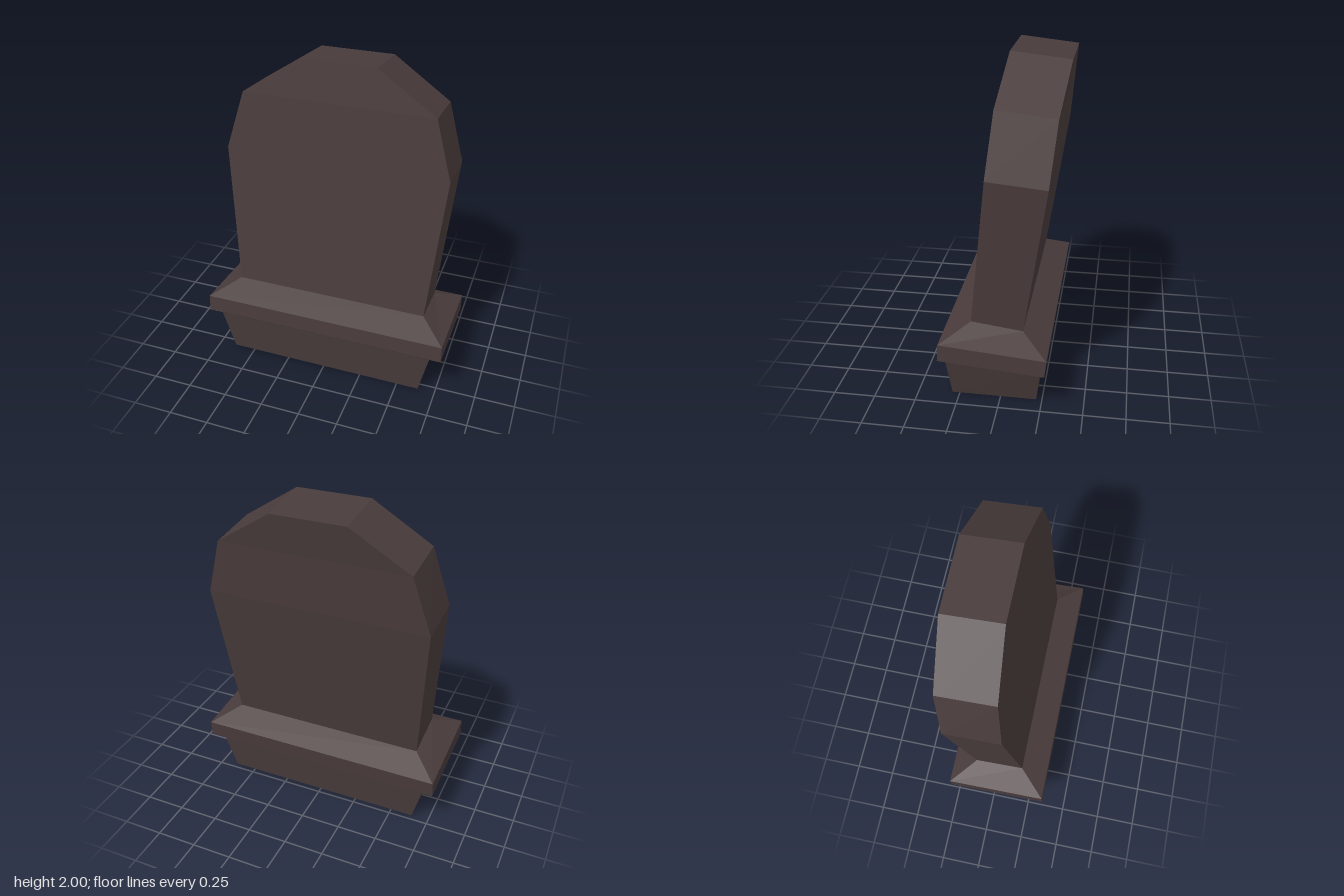
import * as THREE from 'three';

// The foot is open underneath, so the hollow inside shows
const stone = new THREE.MeshStandardMaterial({ color: 0x493b3b, flatShading: true, side: THREE.DoubleSide });
stone.name = 'dark stone';

// Each section: half width, front y and z, back y and z
const FOOT = [
  [0.64, 0, 0.295, 0, -0.215],
  [0.705, 0.288, 0.322, 0.243, -0.243],
];
const COLLAR = [
  FOOT[1],
  [0.78, 0.312, 0.347, 0.26, -0.275],
  [0.78, 0.418, 0.34, 0.365, -0.286],
  [0.62, 0.495, 0.175, 0.455, -0.132],
];
const SLAB = [
  COLLAR[3],
  [0.697, 1.402, 0.07, 1.37, -0.275],
  [0.59, 1.765, 0.032, 1.728, -0.312],
  [0.23, 2.0, 0, 1.962, -0.35],
];

// Joins four-cornered sections into a faceted skin
function loft(name, sections, capped) {
  const rings = sections.map(([w, fy, fz, by, bz]) => [
    [-w, fy, fz], [w, fy, fz], [w, by, bz], [-w, by, bz],
  ]);
  const pos = [];
  const quad = (a, b, c, d) => [a, b, c, a, c, d].forEach((p) => pos.push(...p));
  for (let r = 0; r < rings.length - 1; r++) {
    const lo = rings[r], hi = rings[r + 1];
    for (let i = 0; i < 4; i++) {
      const j = (i + 1) % 4;
      quad(lo[i], lo[j], hi[j], hi[i]);
    }
  }
  if (capped) quad(...rings[rings.length - 1]);
  const geometry = new THREE.BufferGeometry();
  geometry.setAttribute('position', new THREE.Float32BufferAttribute(pos, 3));
  geometry.computeVertexNormals();
  const mesh = new THREE.Mesh(geometry, stone);
  mesh.name = name;
  return mesh;
}

export function createModel() {
  const group = new THREE.Group();
  group.name = 'leaning headstone';
  group.add(
    loft('foot', FOOT, false),
    loft('collar', COLLAR, false),
    loft('slab', SLAB, true),
  );
  return group;
}
